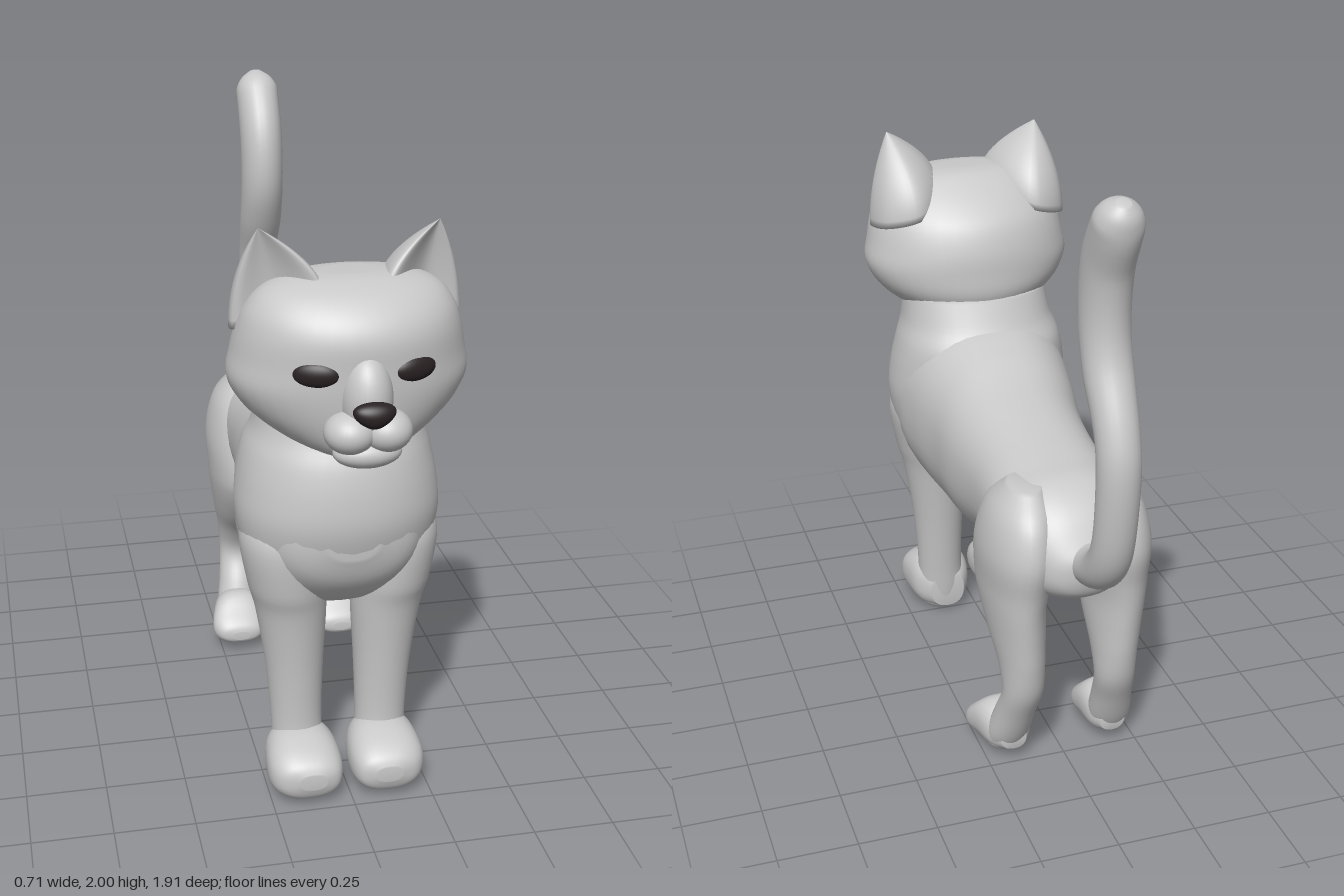
import * as THREE from 'three';

const V = (x, y, z) => new THREE.Vector3(x, y, z);
const coat = new THREE.MeshStandardMaterial({ color: 0xc8c8c8 });
coat.name = 'grey coat';
const dark = new THREE.MeshStandardMaterial({ color: 0x2a2224 });
dark.name = 'dark eyes and nose';

// Catmull-Rom interpolation of every column of a small table
function smoothRows(rows, steps = 5) {
  const out = [], n = rows.length - 1;
  for (let i = 0; i < n; i++) {
    const a = rows[Math.max(i - 1, 0)], b = rows[i], c = rows[i + 1], d = rows[Math.min(i + 2, n)];
    for (let s = 0; s < steps; s++) {
      const t = s / steps;
      out.push(b.map((p, k) => {
        const slope = c[k] - a[k];
        const square = 2 * a[k] - 5 * p + 4 * c[k] - d[k];
        const cube = 3 * (p - c[k]) + d[k] - a[k];
        return p + 0.5 * t * (slope + t * (square + t * cube));
      }));
    }
  }
  out.push(rows[n]);
  return out;
}

// Closed smooth skin over rings of points, wound so that it faces outward
function skin(name, rings) {
  const n = rings[0].length, pts = rings.flat(), idx = [];
  for (let r = 0; r < rings.length - 1; r++) {
    for (let i = 0; i < n; i++) {
      const a = r * n + i, b = r * n + (i + 1) % n;
      idx.push(a, b, a + n, b, b + n, a + n);
    }
  }
  const centre = ring => ring.reduce((s, p) => s.add(p), V(0, 0, 0)).divideScalar(n);
  const last = (rings.length - 1) * n, c0 = pts.length;
  pts.push(centre(rings[0]), centre(rings[rings.length - 1]));
  for (let i = 0; i < n; i++) {
    const j = (i + 1) % n;
    idx.push(c0, j, i, c0 + 1, last + i, last + j);
  }
  let volume = 0;
  for (let i = 0; i < idx.length; i += 3) {
    volume += pts[idx[i]].dot(pts[idx[i + 1]].clone().cross(pts[idx[i + 2]]));
  }
  if (volume < 0) idx.reverse();
  const geo = new THREE.BufferGeometry().setFromPoints(pts);
  geo.setIndex(idx);
  geo.computeVertexNormals();
  const mesh = new THREE.Mesh(geo, coat);
  mesh.name = name;
  return mesh;
}

// Loft along 'y' or 'z'; row = [position, centre x, half width, low, high]
function loft(name, axis, rows, side = 1, power = 2, segs = 32) {
  const round = v => Math.sign(v) * Math.pow(Math.abs(v), 2 / power);
  const rings = smoothRows(rows).map(([p, cx, rx, lo, hi]) => {
    return Array.from({ length: segs }, (_, i) => {
      const a = i / segs * Math.PI * 2;
      const x = side * cx + rx * round(Math.cos(a));
      const q = (lo + hi) / 2 + (hi - lo) / 2 * round(Math.sin(a));
      return axis === 'y' ? V(x, p, q) : V(x, q, p);
    });
  });
  return skin(name, rings);
}

function ellipsoid(name, pos, size, material = coat) {
  const mesh = new THREE.Mesh(new THREE.SphereGeometry(1, 28, 20).scale(...size), material);
  mesh.position.set(...pos);
  mesh.name = name;
  return mesh;
}

// Ear: a ring with a hollow front, drawn in toward a rounded tip
function ear(side) {
  const base = new THREE.CatmullRomCurve3([
    V(0.09, 1.62, 0.68), V(0.1, 1.6, 0.52), V(0.2, 1.56, 0.4),
    V(0.31, 1.53, 0.45), V(0.335, 1.52, 0.57), V(0.22, 1.56, 0.57),
  ], true).getPoints(36).slice(0, 36);
  const tip = V(0.262, 1.82, 0.6), rings = [];
  for (let k = 0; k <= 12; k++) {
    const t = k / 12, s = 1 - 0.99 * t * t;
    rings.push(base.map(p => {
      const q = tip.clone().lerp(p, s);
      q.y = p.y + (tip.y - p.y) * t;
      q.x *= side;
      return q;
    }));
  }
  return skin('ear', rings);
}

// Tail: round sections square to a path; row = [y, z, radius]
function tail() {
  const rows = smoothRows([
    [0.8, -0.6, 0.07], [0.815, -0.72, 0.065], [0.87, -0.81, 0.065], [0.98, -0.866, 0.063],
    [1.2, -0.89, 0.065], [1.33, -0.865, 0.066], [1.49, -0.785, 0.075], [1.63, -0.75, 0.09],
    [1.78, -0.765, 0.093], [1.9, -0.825, 0.082], [1.96, -0.86, 0.058], [1.99, -0.875, 0.02],
  ]);
  const rings = rows.map(([y, z, r], k) => {
    const a = rows[Math.max(k - 1, 0)], b = rows[Math.min(k + 1, rows.length - 1)];
    const dir = V(0, b[0] - a[0], b[1] - a[1]).normalize();
    return Array.from({ length: 24 }, (_, i) => {
      const t = i / 24 * Math.PI * 2, q = r * Math.sin(t);
      return V(-0.01 + Math.min(r, 0.073) * Math.cos(t), y - dir.z * q, z + dir.y * q);
    });
  });
  return skin('tail', rings);
}

export function createModel() {
  const model = new THREE.Group();
  model.name = 'cat';

  // Body and neck
  model.add(loft('torso', 'z', [
    [0.74, -0.01, 0.08, 0.84, 0.98], [0.7, -0.01, 0.19, 0.74, 1.06], [0.6, -0.01, 0.26, 0.64, 1.17],
    [0.45, -0.01, 0.3, 0.58, 1.22], [0.3, -0.01, 0.285, 0.56, 1.21], [0.15, -0.01, 0.26, 0.56, 1.165],
    [0, 0, 0.24, 0.58, 1.11], [-0.2, 0, 0.22, 0.63, 1.065], [-0.4, 0, 0.22, 0.66, 1.03],
    [-0.52, 0, 0.215, 0.66, 1.01], [-0.62, 0, 0.17, 0.66, 0.95], [-0.69, 0, 0.1, 0.7, 0.86],
    [-0.715, 0, 0.03, 0.76, 0.82],
  ], 1, 2.3, 40));
  model.add(loft('neck and chest', 'y', [
    [0.66, -0.01, 0.16, 0.36, 0.61], [0.72, -0.01, 0.25, 0.3, 0.68], [0.8, -0.01, 0.29, 0.26, 0.72],
    [0.92, -0.01, 0.312, 0.22, 0.755], [1.02, -0.01, 0.305, 0.2, 0.755], [1.12, -0.01, 0.285, 0.2, 0.735],
    [1.2, -0.005, 0.26, 0.25, 0.7], [1.3, 0, 0.25, 0.3, 0.67],
  ], 1, 2.1, 40));
  model.add(tail());

  // Head and muzzle
  const head = new THREE.Group();
  head.name = 'head';
  head.add(loft('skull', 'y', [
    [1.175, 0, 0.08, 0.52, 0.76], [1.19, 0, 0.14, 0.43, 0.8], [1.23, 0, 0.225, 0.34, 0.825],
    [1.3, 0, 0.31, 0.295, 0.84], [1.38, 0, 0.353, 0.292, 0.848], [1.46, 0, 0.343, 0.3, 0.85],
    [1.54, 0, 0.325, 0.33, 0.848], [1.6, 0, 0.3, 0.385, 0.82], [1.65, 0, 0.255, 0.45, 0.765],
    [1.68, 0, 0.18, 0.5, 0.7], [1.69, 0, 0.08, 0.55, 0.65],
  ], 1, 2, 40));
  head.add(ellipsoid('nose bridge', [0, 1.38, 0.82], [0.075, 0.13, 0.09]));
  head.add(ellipsoid('chin', [0, 1.228, 0.84], [0.1, 0.046, 0.062]));
  const nose = ellipsoid('nose', [0, 1.365, 0.92], [0.058, 0.038, 0.035], dark);
  const p = nose.geometry.attributes.position;
  for (let i = 0; i < p.count; i++) p.setX(i, p.getX(i) * (1 + 9 * p.getY(i)));
  nose.geometry.computeVertexNormals();
  head.add(nose);
  model.add(head);

  for (const side of [-1, 1]) {
    // Face pairs
    head.add(ear(side));
    head.add(ellipsoid('whisker pad', [side * 0.052, 1.292, 0.845], [0.075, 0.062, 0.078]));
    const eye = ellipsoid('eye', [side * 0.14, 1.455, 0.808], [0.07, 0.04, 0.03], dark);
    eye.rotation.y = side * 0.36;
    head.add(eye);

    // Front leg
    const front = new THREE.Group();
    front.name = 'front leg';
    front.position.x = -0.01;
    front.add(loft('foreleg', 'y', [
      [0.95, 0.17, 0.09, 0.38, 0.64], [0.85, 0.18, 0.125, 0.36, 0.68], [0.7, 0.165, 0.12, 0.39, 0.67],
      [0.6, 0.15, 0.11, 0.41, 0.645], [0.4, 0.14, 0.09, 0.44, 0.62], [0.2, 0.135, 0.08, 0.465, 0.61],
      [0.1, 0.13, 0.085, 0.475, 0.63], [0.03, 0.13, 0.08, 0.485, 0.64], [0.005, 0.13, 0.06, 0.5, 0.62],
    ], side));
    front.add(loft('front paw', 'z', [
      [0.48, 0.12, 0.06, 0.02, 0.15], [0.53, 0.13, 0.1, 0.003, 0.2], [0.6, 0.13, 0.115, 0, 0.205],
      [0.68, 0.13, 0.115, 0.008, 0.18], [0.73, 0.125, 0.09, 0.03, 0.15], [0.75, 0.12, 0.04, 0.07, 0.12],
    ], side, 2.4));
    model.add(front);

    // Hind leg
    const hind = new THREE.Group();
    hind.name = 'hind leg';
    hind.add(loft('thigh and shank', 'y', [
      [1.0, 0.13, 0.05, -0.55, -0.4], [0.92, 0.145, 0.095, -0.64, -0.3], [0.8, 0.155, 0.115, -0.675, -0.25],
      [0.68, 0.162, 0.105, -0.655, -0.235], [0.6, 0.165, 0.095, -0.645, -0.265], [0.5, 0.16, 0.085, -0.635, -0.335],
      [0.4, 0.155, 0.072, -0.625, -0.425], [0.3, 0.155, 0.065, -0.605, -0.472], [0.2, 0.165, 0.065, -0.56, -0.425],
      [0.1, 0.175, 0.07, -0.515, -0.38], [0.04, 0.18, 0.06, -0.48, -0.36],
    ], side));
    hind.add(loft('hind paw', 'z', [
      [-0.5, 0.17, 0.04, 0.05, 0.12], [-0.45, 0.175, 0.075, 0.025, 0.17], [-0.38, 0.18, 0.09, 0.02, 0.185],
      [-0.32, 0.185, 0.095, 0.02, 0.14], [-0.28, 0.185, 0.07, 0.035, 0.105], [-0.268, 0.185, 0.03, 0.05, 0.08],
    ], side, 2.3));
    model.add(hind);
  }
  return model;
}
